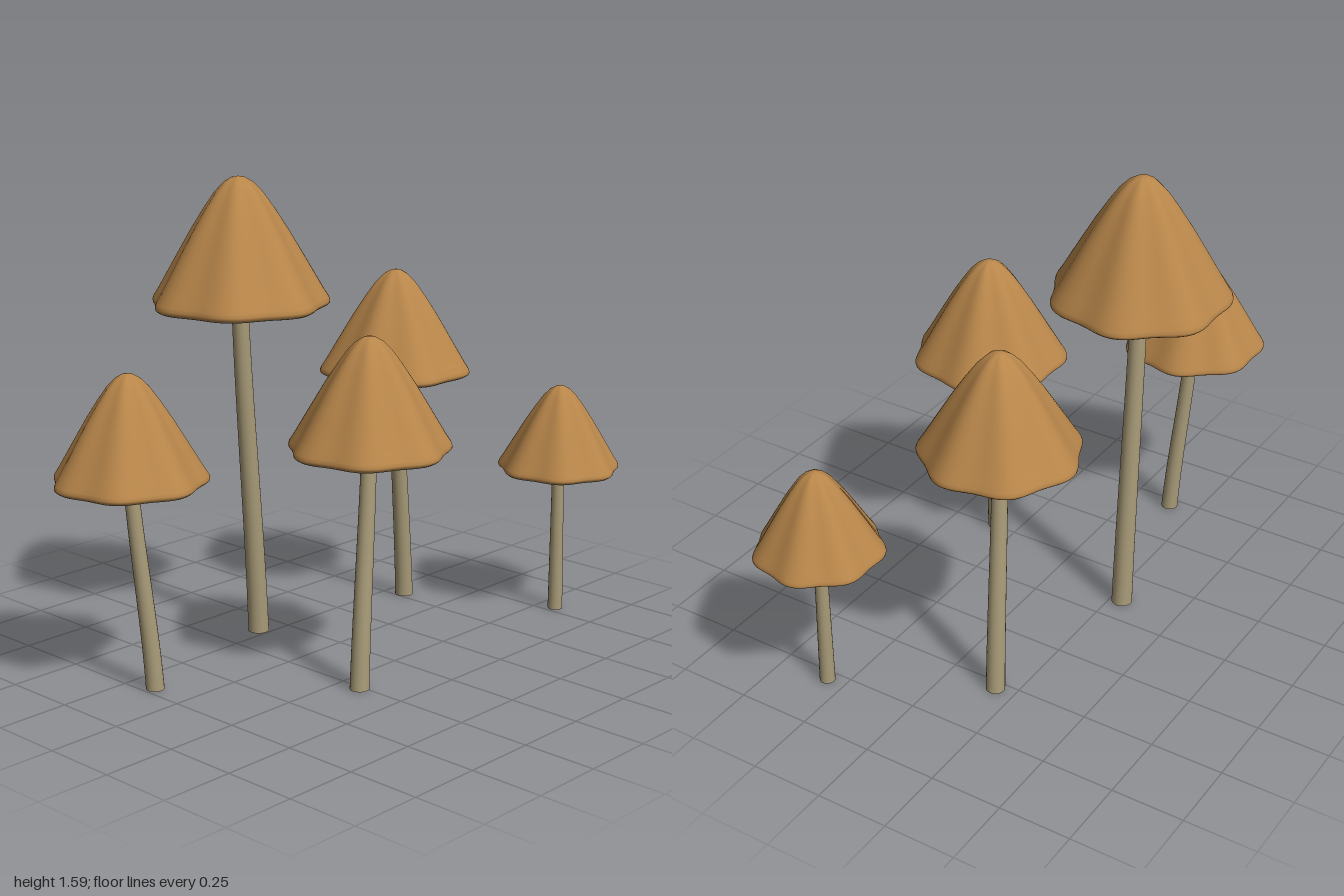
import * as THREE from 'three';
import { mergeVertices } from 'three/addons/utils/BufferGeometryUtils.js';

const capMaterial = new THREE.MeshStandardMaterial({ color: 0xb8864a });
capMaterial.name = 'ochre cap';
const stemMaterial = new THREE.MeshStandardMaterial({ color: 0xa89b78 });
stemMaterial.name = 'pale stem';

const LOBES = 7;

// Bell profile from rim to apex, as [radius, height] fractions
const CAP_PROFILE = [
  [0.975, 0], [0.995, 0.012], [1, 0.03], [0.985, 0.06], [0.93, 0.12], [0.84, 0.23], [0.7, 0.4],
  [0.55, 0.58], [0.4, 0.745], [0.27, 0.875], [0.16, 0.955], [0.07, 0.992], [0, 1],
];
// Underside profile from centre to rim: radius fraction, height in units
const GILL_PROFILE = [[0, -0.012], [0.3, -0.012], [0.6, -0.011], [0.85, -0.008], [0.94, -0.005], [0.975, 0]];

// Lathe whose radius swells into soft lobes
function lobedLathe(points, phase) {
  let geo = new THREE.LatheGeometry(points.map(([r, y]) => new THREE.Vector2(r, y)), 84);
  const pos = geo.attributes.position;
  for (let i = 0; i < pos.count; i++) {
    const x = pos.getX(i), z = pos.getZ(i);
    const k = 1 + 0.04 * Math.cos(LOBES * (Math.atan2(x, z) - phase));
    pos.setX(i, x * k);
    pos.setZ(i, z * k);
  }
  geo.deleteAttribute('uv');
  geo.deleteAttribute('normal');
  geo = mergeVertices(geo, 1e-5);
  geo.computeVertexNormals();
  return geo;
}

// Tapered stem that bends from its base to the middle of the cap
function stemGeometry(base, top, height, radius) {
  const geo = new THREE.CylinderGeometry(radius * 0.78, radius, height, 20, 14);
  geo.translate(0, height / 2, 0);
  const pos = geo.attributes.position;
  for (let i = 0; i < pos.count; i++) {
    const t = pos.getY(i) / height;
    const bend = 0.65 * t + 0.35 * t * t * (3 - 2 * t);
    pos.setX(i, pos.getX(i) + base[0] + (top[0] - base[0]) * bend);
    pos.setZ(i, pos.getZ(i) + base[1] + (top[1] - base[1]) * bend);
  }
  geo.computeVertexNormals();
  return geo;
}

function mushroom({ name, base, top, rimY, apexY, capRadius, stemRadius, phase = 0 }) {
  const group = new THREE.Group();
  group.name = name;
  const add = (geo, material, part) => {
    const mesh = new THREE.Mesh(geo, material);
    mesh.name = part;
    group.add(mesh);
    return mesh;
  };
  const height = apexY - rimY;
  add(lobedLathe(CAP_PROFILE.map(([r, y]) => [r * capRadius, y * height]), phase), capMaterial, 'cap')
    .position.set(top[0], rimY, top[1]);
  add(lobedLathe(GILL_PROFILE.map(([r, y]) => [r * capRadius, y]), phase), stemMaterial, 'underside')
    .position.set(top[0], rimY, top[1]);
  add(stemGeometry(base, top, rimY + 0.03, stemRadius), stemMaterial, 'stem');
  return group;
}

export function createModel() {
  const model = new THREE.Group();
  model.name = 'mushroomCluster';
  // base and top are [x, z]
  const specs = [
    { name: 'tallMushroom', base: [-0.105, -0.29], top: [-0.187, -0.28], rimY: 1.162, apexY: 1.59, capRadius: 0.29, stemRadius: 0.036 },
    { name: 'frontMushroom', base: [-0.262, 0.333], top: [-0.18, 0.297], rimY: 0.77, apexY: 1.14, capRadius: 0.256, stemRadius: 0.032 },
    { name: 'rightMushroom', base: [-0.712, -0.145], top: [-0.757, -0.19], rimY: 0.688, apexY: 1.04, capRadius: 0.242, stemRadius: 0.03 },
    { name: 'leftMushroom', base: [0.53, -0.178], top: [0.438, -0.147], rimY: 0.856, apexY: 1.22, capRadius: 0.256, stemRadius: 0.032, phase: Math.PI },
    { name: 'smallMushroom', base: [0.787, 0.318], top: [0.785, 0.317], rimY: 0.52, apexY: 0.82, capRadius: 0.207, stemRadius: 0.026 },
  ];
  specs.forEach((s) => model.add(mushroom(s)));
  return model;
}
